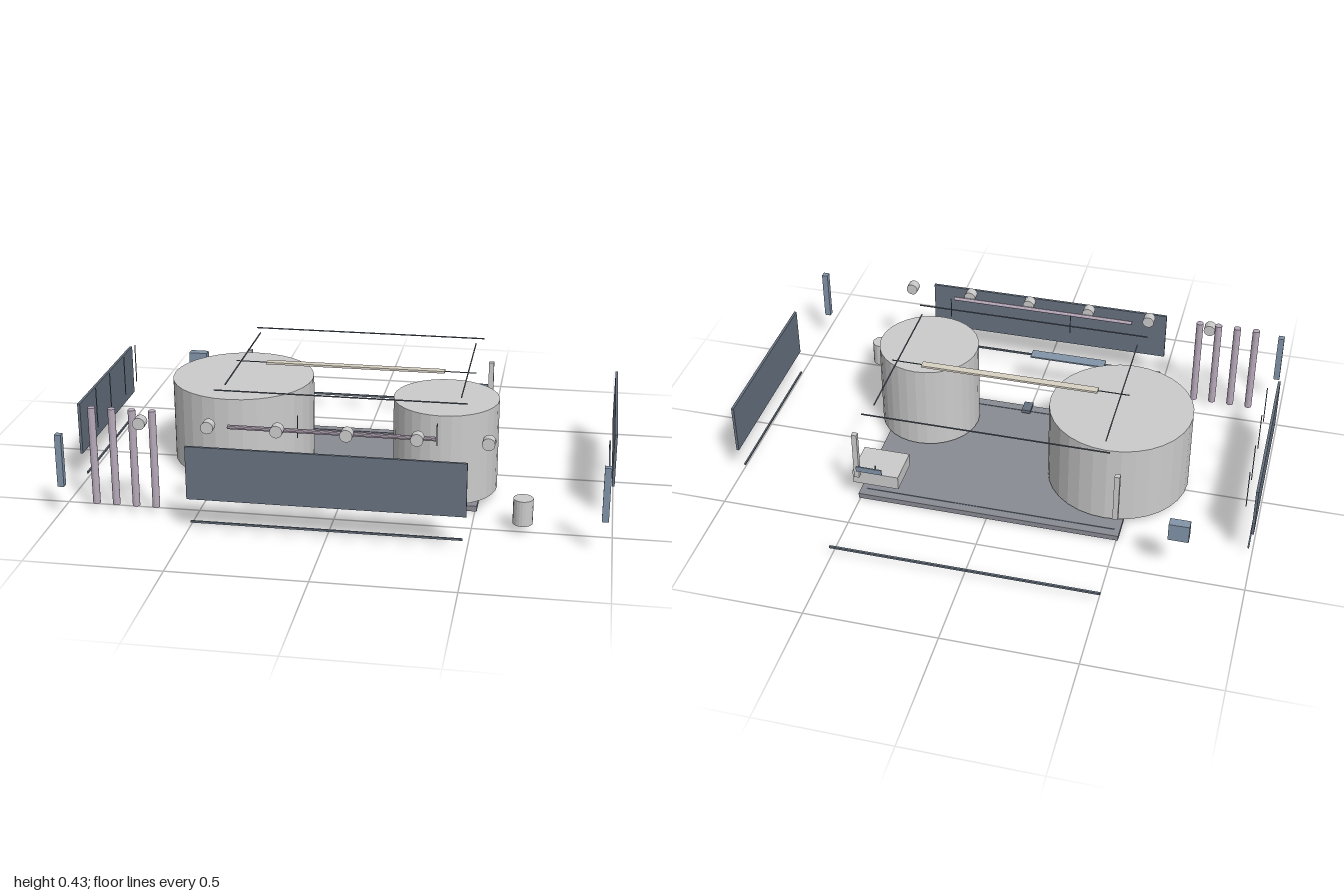
import * as THREE from 'three';

const mat = (color) => new THREE.MeshStandardMaterial({ color, flatShading: true });

export function createModel() {
  const model = new THREE.Group();
  const grey = mat(0xcccccc);
  const deck = mat(0x8a8c94);
  const slate = mat(0x66717f);
  const blue = mat(0x8294a8);
  const mauve = mat(0xb8aabb);
  const sand = mat(0xd8d2c4);

  function add(name, geometry, material, x, y, z) {
    const mesh = new THREE.Mesh(geometry, material);
    mesh.name = name;
    mesh.position.set(x, y, z);
    model.add(mesh);
    return mesh;
  }
  // box given by its limits on each axis
  const box = (name, material, x0, x1, y0, y1, z0, z1) =>
    add(name, new THREE.BoxGeometry(x1 - x0, y1 - y0, z1 - z0), material,
      (x0 + x1) / 2, (y0 + y1) / 2, (z0 + z1) / 2);
  // upright cylinder from y0 to y1
  const column = (name, material, x, z, r, y0, y1, sides) =>
    add(name, new THREE.CylinderGeometry(r, r, y1 - y0, sides), material, x, (y0 + y1) / 2, z);

  // base plate with thin inlaid border
  box('basePlate', deck, -0.507, 0.507, 0, 0.021, -0.352, 0.352);
  for (const s of [-1, 1]) {
    box('deckBorder', slate, -0.485, 0.485, 0.02, 0.023, s * 0.315 - 0.002, s * 0.315 + 0.002);
  }

  // storage tanks and canister
  column('largeTank', grey, -0.438, 0, 0.273, 0.032, 0.355, 32);
  column('smallTank', grey, 0.372, 0.187, 0.196, 0.032, 0.38, 32);
  column('canister', grey, 0.682, 0.496, 0.036, 0.034, 0.13, 20);

  // shell panels and corner posts
  box('frontPanel', slate, -0.496, 0.496, 0.13, 0.33, 0.68, 0.69);
  for (const s of [-1, 1]) {
    box('sidePanel', slate, s * 0.995 - 0.005, s * 0.995 + 0.005, 0.13, 0.33, -0.342, 0.342);
    box('frontPost', blue, s * 0.97 - 0.012, s * 0.97 + 0.012, 0.13, 0.33, 0.632, 0.656);
    box('backPost', grey, s * 0.497 - 0.01, s * 0.497 + 0.01, 0.13, 0.33, -0.385, -0.366);
    // lower rails
    box('sideRail', slate, s * 0.985 - 0.003, s * 0.985 + 0.003, 0.038, 0.045, -0.317, 0.317);
    // thin upper frame
    box('topLongBar', slate, -0.465, 0.465, 0.426, 0.43, s * 0.374 - 0.002, s * 0.374 + 0.002);
    box('topCrossBar', slate, s * 0.437 - 0.002, s * 0.437 + 0.002, 0.426, 0.43, -0.31, 0.31);
  }
  box('frontRail', slate, -0.485, 0.485, 0.038, 0.045, 0.68, 0.687);
  box('backRail', slate, -0.507, 0.507, 0.035, 0.043, -0.69, -0.682);

  // centre strip between the tanks
  box('centreStrip', sand, -0.345, 0.345, 0.41, 0.418, -0.015, 0.015);
  box('centreLine', slate, -0.465, 0.465, 0.412, 0.415, -0.0015, 0.0015);

  // row of upright pipes
  for (let i = 0; i < 4; i++) {
    column('uprightPipe', mauve, -0.872 + i * 0.075, 0.557, 0.014, 0.032, 0.405, 12);
  }

  // manifold pipe with row of knobs
  const pipe = add('manifoldPipe', new THREE.CylinderGeometry(0.008, 0.008, 0.745, 10), mauve, 0, 0.36, 0.556);
  pipe.rotation.z = Math.PI / 2;
  for (let i = 0; i < 6; i++) {
    const knob = add('knob', new THREE.CylinderGeometry(0.023, 0.023, 0.037, 16), grey,
      -0.686 + i * 0.249, 0.368, 0.582);
    knob.rotation.x = Math.PI / 2;
  }

  // tray and slim rods behind the front panel
  box('tray', blue, -0.28, 0.028, 0.177, 0.183, 0.472, 0.52);
  for (const x of [-0.13, 0.37]) column('frontRod', slate, x, 0.497, 0.002, 0.31, 0.395, 6);

  // slim rods beside the right panel
  for (const z of [-0.275, -0.12, 0.07, 0.245]) {
    column('sideRod', slate, -0.957, z, 0.002, 0.2, 0.36, 6);
  }

  // pump block, its stub and plate
  box('pumpBlock', grey, 0.345, 0.525, 0.075, 0.13, -0.352, -0.203);
  column('pumpStub', slate, 0.435, -0.345, 0.003, 0.13, 0.165, 6);
  box('pumpPlate', blue, 0.382, 0.482, 0.195, 0.217, -0.427, -0.422);

  // control box and drain
  box('controlBox', blue, -0.785, -0.71, 0.195, 0.266, -0.518, -0.482);
  box('drain', slate, -0.018, 0.018, 0.036, 0.05, 0.28, 0.338);

  return model;
}
